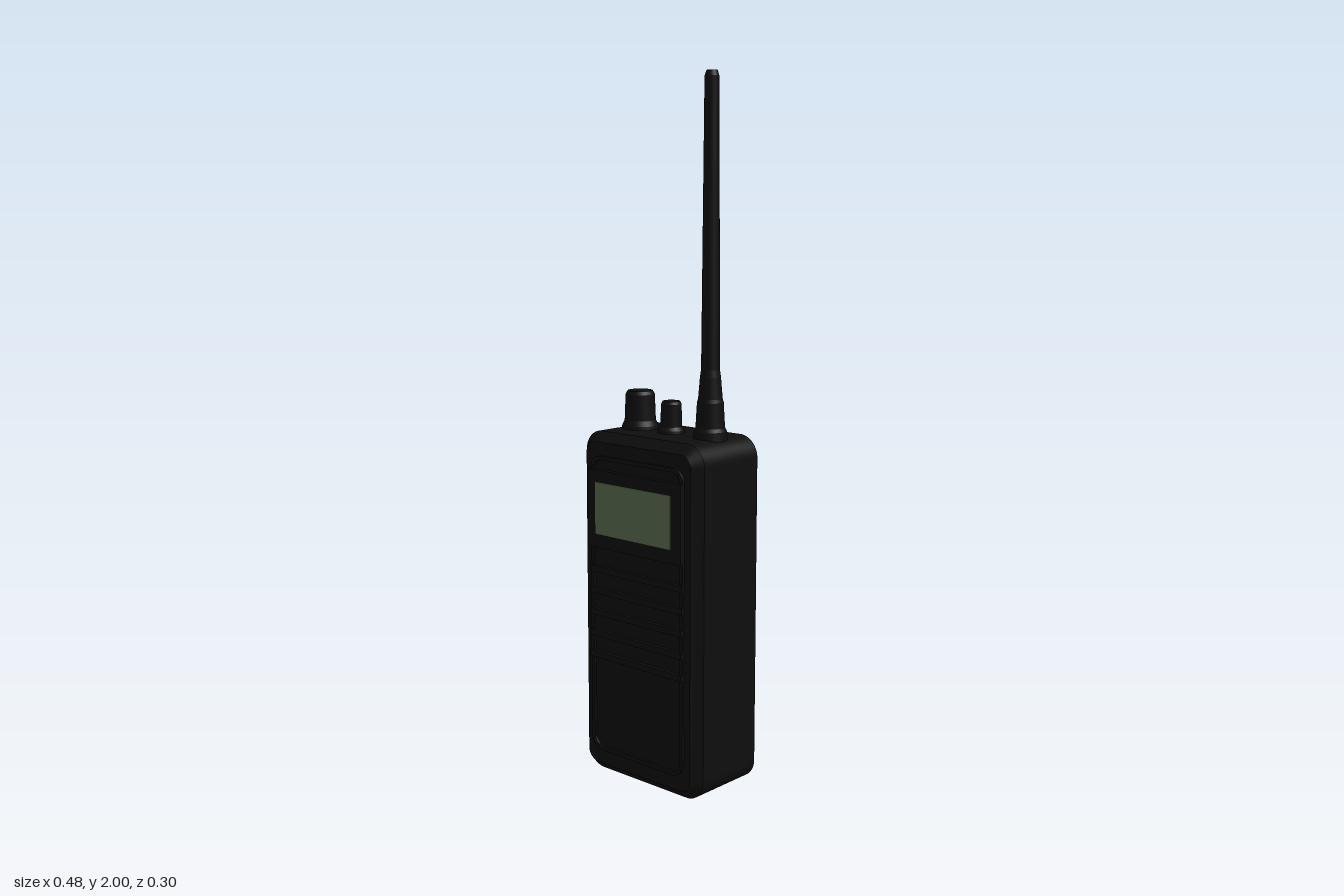
import * as THREE from 'three';

const black = new THREE.MeshStandardMaterial({ color: 0x0e0e0e });
black.name = 'black plastic';
const green = new THREE.MeshStandardMaterial({ color: 0x5b7050 });
green.name = 'display green';

// Rounded rectangle outline between two corners
function roundedRect(x0, y0, x1, y1, r, Type = THREE.Shape) {
  const s = new Type();
  s.moveTo(x0 + r, y0);
  s.lineTo(x1 - r, y0);
  s.absarc(x1 - r, y0 + r, r, -Math.PI / 2, 0);
  s.lineTo(x1, y1 - r);
  s.absarc(x1 - r, y1 - r, r, 0, Math.PI / 2);
  s.lineTo(x0 + r, y1);
  s.absarc(x0 + r, y1 - r, r, Math.PI / 2, Math.PI);
  s.lineTo(x0, y0 + r);
  s.absarc(x0 + r, y0 + r, r, Math.PI, Math.PI * 1.5);
  return s;
}

export function createModel() {
  const model = new THREE.Group();
  model.name = 'handheldRadio';

  const add = (name, geometry, material = black) => {
    const mesh = new THREE.Mesh(geometry, material);
    mesh.name = name;
    model.add(mesh);
    return mesh;
  };
  // Box given by its minimum and maximum corners
  const box = (name, [x0, y0, z0], [x1, y1, z1], material) => {
    const mesh = add(name, new THREE.BoxGeometry(x1 - x0, y1 - y0, z1 - z0), material);
    mesh.position.set((x0 + x1) / 2, (y0 + y1) / 2, (z0 + z1) / 2);
    return mesh;
  };
  // Turned part from [radius, height] pairs; each band keeps sharp edges
  const turned = (name, x, z, profile) => {
    const group = new THREE.Group();
    group.name = name;
    group.position.set(x, 0, z);
    for (let i = 1; i < profile.length; i++) {
      const [r0, y0] = profile[i - 1];
      const [r1, y1] = profile[i];
      const band = new THREE.Mesh(new THREE.LatheGeometry(
        [new THREE.Vector2(r0, y0), new THREE.Vector2(r1, y1)], 32), black);
      band.name = name + 'Band';
      group.add(band);
    }
    model.add(group);
  };

  // Chamfered case
  const c = 0.027;
  const body = add('body', new THREE.ExtrudeGeometry(
    roundedRect(-0.213 + c, c, 0.238 - c, 1.01 - c, 0.035),
    { depth: 0.224, bevelSize: c, bevelThickness: c, bevelSegments: 1, curveSegments: 8 }));
  body.position.z = -0.118;

  // Raised rim around the front panel
  const rim = roundedRect(-0.165, 0.07, 0.19, 0.945, 0.04);
  rim.holes.push(roundedRect(-0.153, 0.082, 0.178, 0.933, 0.03, THREE.Path));
  add('frontRim', new THREE.ExtrudeGeometry(rim,
    { depth: 0.008, bevelEnabled: false, curveSegments: 6 })).position.z = 0.132;

  // Display
  box('displayBezel', [-0.165, 0.68, 0.13], [0.19, 0.905, 0.149]);
  box('displayScreen', [-0.135, 0.72, 0.147], [0.153, 0.87, 0.151], green);

  // Speaker grille bars
  for (let i = 0; i < 5; i++) {
    const y = 0.36 + i * 0.0635;
    box('grilleBar', [-0.165, y - 0.009, 0.13], [0.19, y + 0.009, 0.145]);
  }

  // Talk button with grip ridges on the right side
  box('talkButton', [-0.225, 0.36, -0.073], [-0.21, 0.67, 0.06]);
  for (let i = 0; i < 5; i++) {
    const y = 0.41 + i * 0.0375;
    box('talkButtonRidge', [-0.24, y - 0.008, -0.048], [-0.222, y + 0.008, 0.034]);
  }
  box('talkButtonPad', [-0.232, 0.36, -0.048], [-0.222, 0.62, 0.034]);

  // Label plate on the back
  box('backPlate', [-0.078, 0.135, -0.152], [0.103, 0.22, -0.143]);

  // Knobs
  turned('largeKnob', -0.107, -0.007, [
    [0.054, 1.005], [0.052, 1.02], [0.045, 1.035], [0.042, 1.11], [0.036, 1.12], [0, 1.12]]);
  turned('smallKnob', 0.014, -0.007, [
    [0.04, 1.005], [0.038, 1.018], [0.031, 1.028], [0.029, 1.092], [0.025, 1.1], [0, 1.1]]);

  // Antenna with stepped boot
  turned('antenna', 0.157, -0.01, [
    [0.048, 1.005], [0.046, 1.03], [0.041, 1.04], [0.037, 1.11], [0.034, 1.12],
    [0.029, 1.18], [0.026, 1.2], [0.02, 1.985], [0.015, 2], [0, 2]]);

  return model;
}
